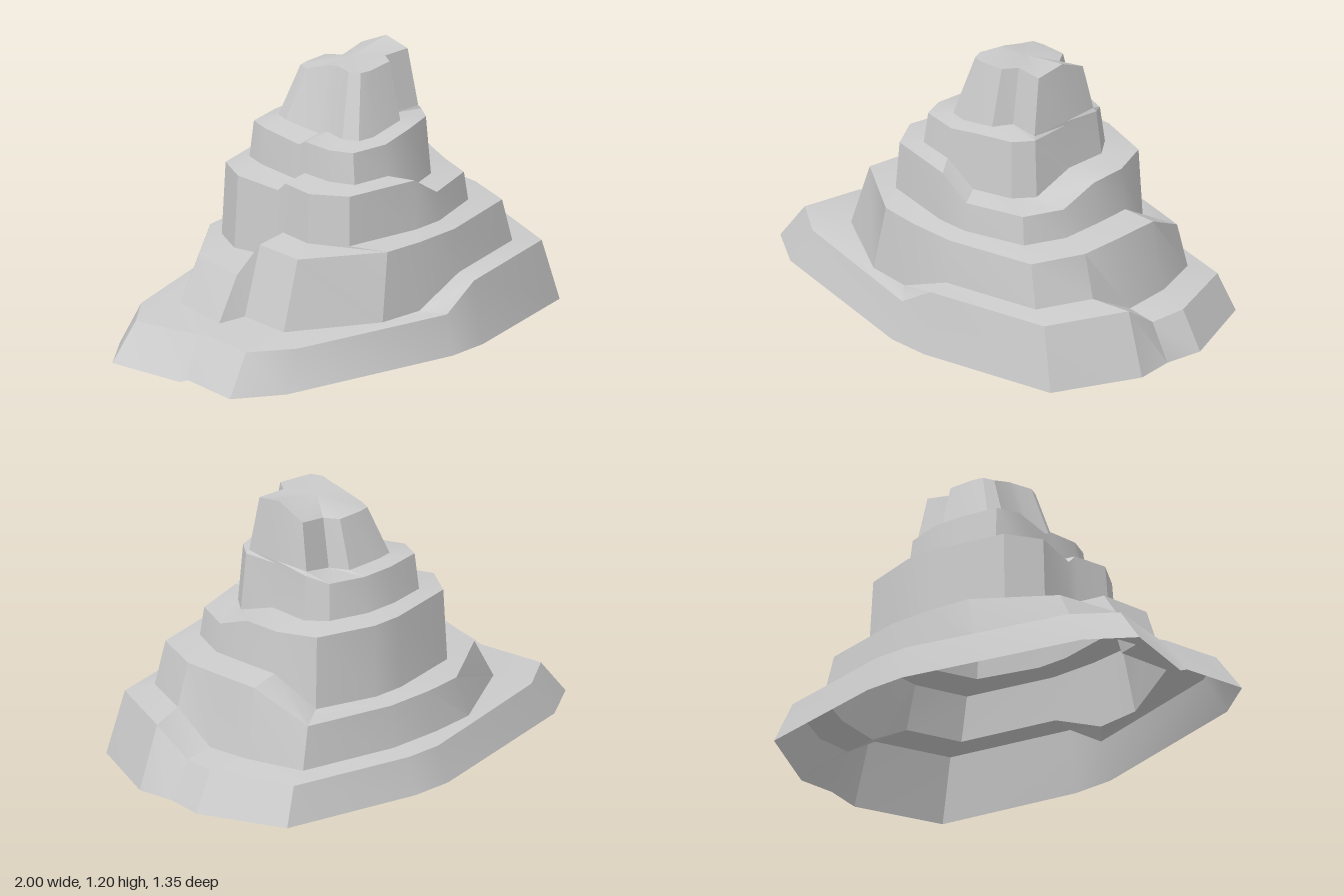
import * as THREE from 'three';
import { toCreasedNormals } from 'three/addons/utils/BufferGeometryUtils.js';

// Each terrace: rim corners [x, z] along the front from right end to left end,
// how far the foot flares out (right, left, depth), and rim heights:
// right end, front right, front left, left end, back, back right.
const terraces = [
  {
    name: 'baseTerrace', right: .89, left: -.83,
    corners: [[.91, .16], [.76, .51], [.2, .63], [.03, .63], [-.7, .44], [-.88, .31]],
    flare: [.12, .12, .07], levels: [.18, .295, .19, .18, .18, .19],
  },
  {
    name: 'secondTerrace', right: .7, left: -.49, notch: .1,
    corners: [[.69, .2], [.6, .43], [.2, .52], [-.02, .52], [-.2, .5], [-.52, .28]],
    flare: [.1, .15, .04], levels: [.51, .5, .5, .38, .38, .51],
  },
  {
    name: 'thirdTerrace', right: .54, left: -.33,
    corners: [[.53, .17], [.46, .34], [.2, .42], [.06, .42], [-.27, .35], [-.36, .2]],
    flare: [.05, .03, .03], levels: [.71, .64, .73, .69, .715, .71],
  },
  {
    name: 'fourthTerrace', right: .37, left: -.2,
    corners: [[.37, .18], [.31, .26], [.15, .31], [0, .31], [-.17, .28], [-.21, .18]],
    flare: [.09, .03, .06], levels: [.92, .91, .88, .86, .89, .92],
  },
  {
    name: 'summit', right: .35, left: 0,
    corners: [[.34, .13], [.21, .12], [.17, .18], [.05, .18], [0, .17], [-.02, .12]],
    flare: [.1, .5, .33], levels: [1.2, 1.175, 1.165, 1.16, 1.12, 1.14],
  },
];
const axisX = .15;

// Closed plan loop, the back mirroring the front, with the left end stepping out by its notch
function planLoop({ right, left, corners, notch = 0 }) {
  const back = corners.map(([x, z]) => [x, -z]).reverse();
  return [[right, 0], ...corners, [left, .04], [left - notch, 0], ...back];
}

// Foot plan: the rim flared outwards from the hill's axis
function footLoop(terrace) {
  const [right, left, depth] = terrace.flare;
  return planLoop(terrace).map(([x, z]) => [
    axisX + (x - axisX) * (1 + (x > axisX ? right : left)), z * (1 + depth)]);
}

// Height of loop corner i
function rimHeight([end, frontRight, frontLeft, leftEnd, back, backRight], i) {
  if (i === 0) return end;
  if (i < 4) return frontRight;
  if (i < 8) return frontLeft;
  if (i === 8) return leftEnd;
  return i < 14 ? back : backRight;
}

const raise = (plan, height) => plan.map(([x, z], i) => [x, height(i), z]);

// Skin stacked loops, with an optional centre point closing the top
function skin(loops, apex) {
  const n = loops[0].length;
  const points = loops.flat();
  const index = [];
  for (let r = 0; r < loops.length - 1; r++) {
    for (let i = 0; i < n; i++) {
      const a = r * n + i, b = r * n + (i + 1) % n;
      index.push(a, a + n, b + n, a, b + n, b);
    }
  }
  if (apex) {
    const top = (loops.length - 1) * n;
    for (let i = 0; i < n; i++) index.push(top + i, points.length, top + (i + 1) % n);
    points.push(apex);
  }
  const geometry = new THREE.BufferGeometry();
  geometry.setAttribute('position', new THREE.Float32BufferAttribute(points.flat(), 3));
  geometry.setIndex(index);
  return toCreasedNormals(geometry, .45);
}

export function createModel() {
  const group = new THREE.Group();
  group.name = 'terracedRock';
  const material = new THREE.MeshStandardMaterial({ color: 0xcccccc, side: THREE.DoubleSide });

  // The ground edge is level except for a small dip at the left end
  let foot = raise(footLoop(terraces[0]), (i) => (i === 8 ? 0 : .02));

  terraces.forEach((terrace, k) => {
    const height = (i) => rimHeight(terrace.levels, i);
    const loops = [foot, raise(planLoop(terrace), height)];
    const next = terraces[k + 1];
    // The ledge rises gently to the foot of the next wall
    if (next) {
      foot = raise(footLoop(next), (i) => height(i) + .015);
      loops.push(foot);
    }
    const mesh = new THREE.Mesh(skin(loops, next ? null : [.13, 1.165, 0]), material);
    mesh.name = terrace.name;
    group.add(mesh);
  });
  return group;
}
